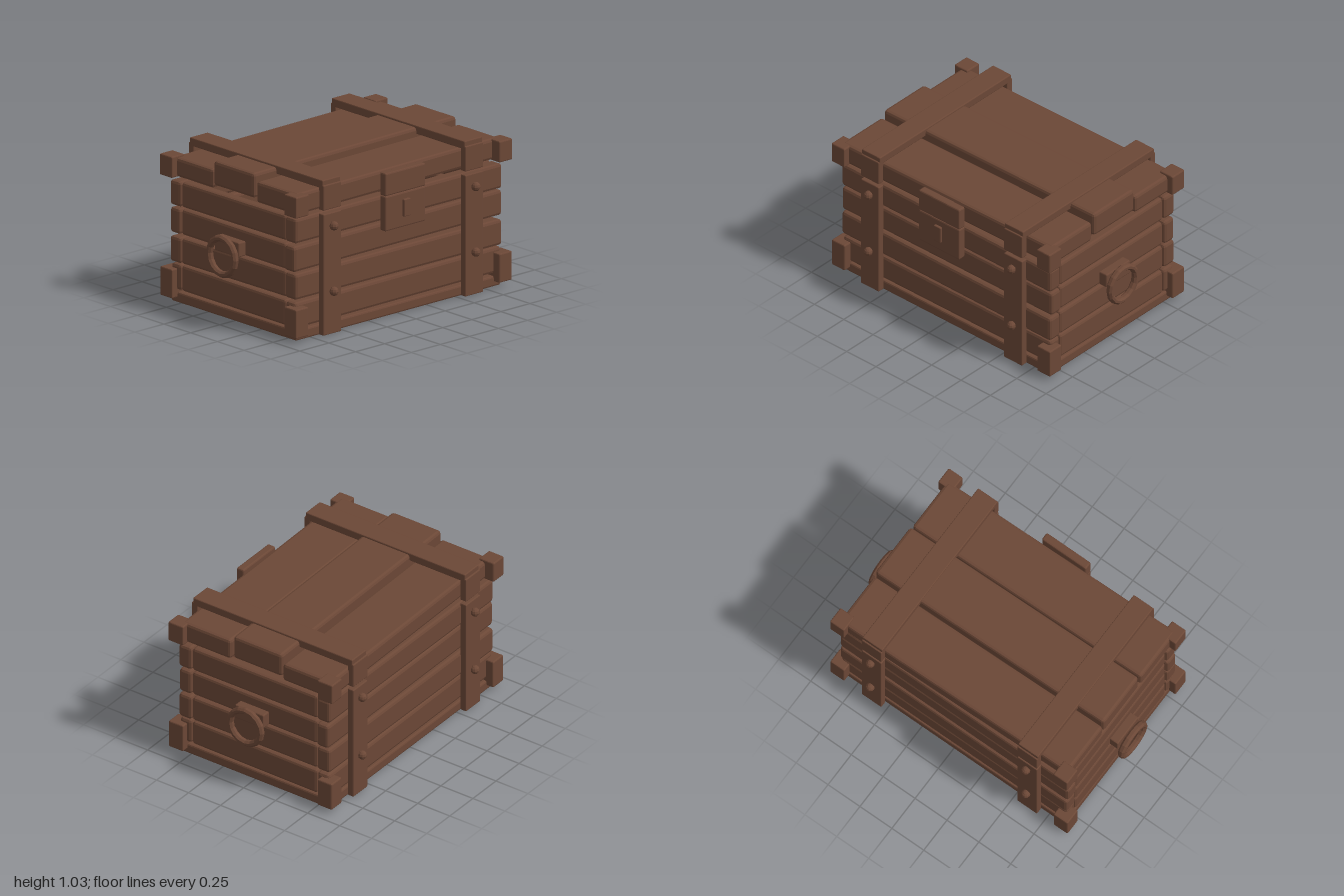
import * as THREE from 'three';
import { RoundedBoxGeometry } from 'three/addons/geometries/RoundedBoxGeometry.js';

export function createModel() {
  const root = new THREE.Group();
  root.name = 'chest';
  const wood = new THREE.MeshStandardMaterial({ color: 0x6b4736 });
  wood.name = 'brownWood';

  function add(parent, name, geometry) {
    const g = geometry.index ? geometry.toNonIndexed() : geometry;
    g.computeVertexNormals(); // faceted normals
    const mesh = new THREE.Mesh(g, wood);
    mesh.name = name;
    parent.add(mesh);
    return mesh;
  }

  // Bevelled block between two corners; optional shear(p) moves each vertex
  function block(parent, name, [x0, x1], [y0, y1], [z0, z1], bevel, shear) {
    const g = new RoundedBoxGeometry(x1 - x0, y1 - y0, z1 - z0, 1, bevel);
    g.translate((x0 + x1) / 2, (y0 + y1) / 2, (z0 + z1) / 2);
    if (shear) {
      const pos = g.attributes.position, p = new THREE.Vector3();
      for (let i = 0; i < pos.count; i++) {
        p.fromBufferAttribute(pos, i);
        shear(p);
        pos.setXYZ(i, p.x, p.y, p.z);
      }
    }
    return add(parent, name, g);
  }

  const span = (a, b, side) => (side > 0 ? [a, b] : [-b, -a]);
  const body = new THREE.Group();
  body.name = 'body';
  const lid = new THREE.Group();
  lid.name = 'lid';
  root.add(body, lid);

  // Floor board
  block(body, 'floor', [-0.88, 0.88], [0.01, 0.08], [-0.585, 0.585], 0.012);

  // Four rows of slightly crooked wall planks: bottom, top, half length, tilt
  const rows = [
    [0.092, 0.264, 0.885, 0.004],
    [0.278, 0.45, 0.89, -0.004],
    [0.467, 0.637, 0.895, 0.003],
    [0.653, 0.82, 0.89, -0.003],
  ];
  rows.forEach(([y0, y1, half, tilt], i) => {
    for (const s of [1, -1]) {
      const depth = 0.582 + (i % 2) * 0.008;
      block(body, s > 0 ? 'frontPlank' : 'backPlank', [-half, half], [y0, y1], span(0.49, depth, s), 0.02,
        (p) => { p.y += s * tilt * p.x; });
      block(body, s > 0 ? 'leftPlank' : 'rightPlank', span(0.8, 0.882, s), [y0, y1], [-0.488, 0.488], 0.018,
        (p) => { p.y += s * tilt * p.z * 1.5; });
    }
  });

  // Three thick lid planks: z range, y range
  const lidPlanks = [
    ['lidFrontPlank', [0.2, 0.582], [0.847, 0.988]],
    ['lidMiddlePlank', [-0.2, 0.18], [0.868, 1.032]],
    ['lidBackPlank', [-0.585, -0.205], [0.845, 0.972]],
  ];
  for (const [name, z, y] of lidPlanks) {
    block(lid, name, [-0.885, 0.885], y, z, 0.02, (p) => { p.z -= 0.016 * p.x; });
  }

  for (const sx of [1, -1]) {
    const strapX = [sx * 0.61 - 0.077, sx * 0.61 + 0.077];

    // Strap over the lid
    block(lid, 'lidTopStrap', strapX, [0.99, 1.045], [-0.622, 0.622], 0.006);

    for (const sz of [1, -1]) {
      // Vertical straps on body and lid
      block(body, 'strap', strapX, [0.015, 0.82], span(0.585, 0.632, sz), 0.006);
      block(lid, 'lidStrap', strapX, [0.845, 1.012], span(0.585, 0.632, sz), 0.006);

      // Corner blocks
      block(body, 'cornerBlock', span(0.82, 0.93, sx), [0.045, 0.238], span(0.525, 0.637, sz), 0.008);
      block(lid, 'lidCornerBlock', span(0.82, 0.93, sx), [0.845, 0.986], span(0.525, 0.64, sz), 0.008);

      // Domed bolts
      for (const y of [0.3, 0.735]) {
        const bolt = add(body, 'bolt', new THREE.SphereGeometry(0.03, 10, 6));
        bolt.position.set(sx * 0.61, y, sz * 0.646);
      }
    }

    // Handle bracket, narrowing slightly outward
    block(body, 'handleBracket', span(0.875, 0.942, sx), [0.468, 0.566], [-0.112, 0.112], 0.008);

    // Ring handle with a chunky bevelled section
    const profile = [
      [0.1, -0.01], [0.112, -0.023], [0.128, -0.023], [0.14, -0.01],
      [0.14, 0.01], [0.128, 0.023], [0.112, 0.023], [0.1, 0.01], [0.1, -0.01],
    ].map(([r, h]) => new THREE.Vector2(r, h));
    const ring = add(body, 'ringHandle', new THREE.LatheGeometry(profile, 16));
    ring.rotation.z = Math.PI / 2;
    ring.position.set(sx * 0.977, 0.46, 0);
  }

  // Lock: hasp on the lid, plate on the body, raised keyhole
  block(lid, 'lockHasp', [-0.174, 0.172], [0.835, 0.988], [0.598, 0.654], 0.01);
  block(body, 'lockPlate', [-0.174, 0.172], [0.602, 0.835], [0.598, 0.654], 0.01);
  block(body, 'keyhole', [-0.03, 0.028], [0.675, 0.79], [0.64, 0.672], 0.005);

  return root;
}
